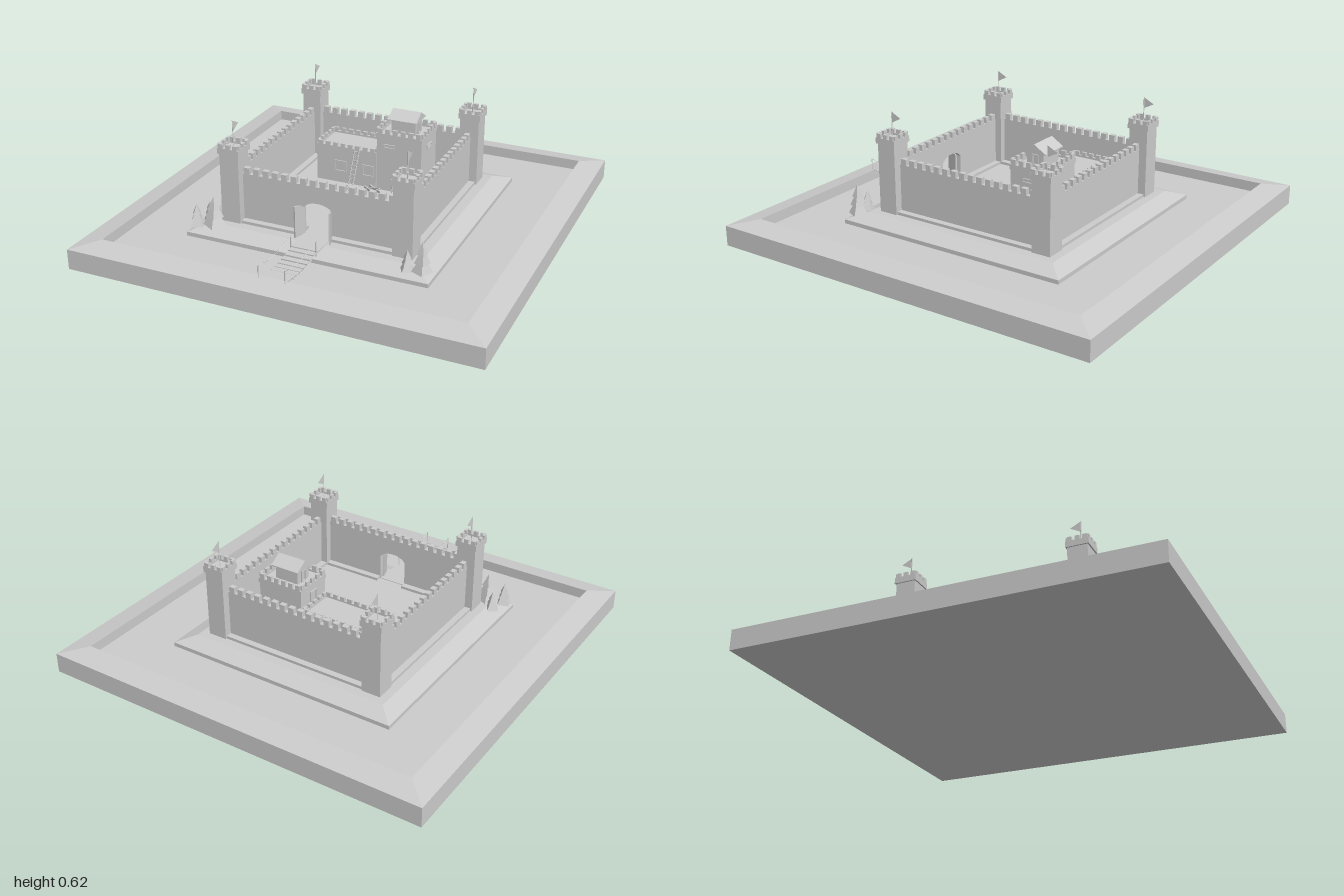
import * as THREE from 'three';

const stone = new THREE.MeshStandardMaterial({ color: 0xcccccc, flatShading: true });
stone.name = 'pale grey stone';
const cloth = stone.clone();
cloth.side = THREE.DoubleSide;
cloth.name = 'pale grey cloth';

const GROUND = 0.12;

function add(parent, name, geo, x = 0, y = 0, z = 0, ry = 0, mat = stone) {
  const m = new THREE.Mesh(geo, mat);
  m.name = name;
  m.position.set(x, y, z);
  m.rotation.y = ry;
  parent.add(m);
  return m;
}
// Box standing on y
const box = (p, name, w, h, d, x, y, z, ry = 0) =>
  add(p, name, new THREE.BoxGeometry(w, h, d), x, y + h / 2, z, ry);

function group(parent, name, x = 0, y = 0, z = 0, ry = 0) {
  const g = new THREE.Group();
  g.name = name;
  g.position.set(x, y, z);
  g.rotation.y = ry;
  parent.add(g);
  return g;
}

// Straight rod between two points
function rod(parent, name, a, b, r) {
  const p = new THREE.Vector3(...a), q = new THREE.Vector3(...b);
  const m = add(parent, name, new THREE.CylinderGeometry(r, r, p.distanceTo(q), 4));
  m.position.copy(p).lerp(q, 0.5);
  m.quaternion.setFromUnitVectors(new THREE.Vector3(0, 1, 0), q.sub(p).normalize());
  return m;
}

// Upright wall with merlons on top and an optional arched gateway, centred on its thickness
function crenelWall(len, h, notch, count, thick, gateW = 0, gateH = 0) {
  const s = new THREE.Shape(), L = len / 2, pitch = len / count;
  s.moveTo(-L, 0);
  if (gateW) {
    s.lineTo(-gateW, 0);
    s.lineTo(-gateW, gateH - 0.03);
    s.quadraticCurveTo(-gateW * 0.7, gateH, 0, gateH);
    s.quadraticCurveTo(gateW * 0.7, gateH, gateW, gateH - 0.03);
    s.lineTo(gateW, 0);
  }
  s.lineTo(L, 0);
  for (let i = 0; i < count; i++) {
    const a = L - i * pitch - pitch * 0.2, b = L - (i + 1) * pitch + pitch * 0.2;
    s.lineTo(i ? a : L, h - notch);
    s.lineTo(a, h - notch);
    s.lineTo(a, h);
    s.lineTo(b, h);
    s.lineTo(b, h - notch);
  }
  s.lineTo(-L, h - notch);
  s.closePath();
  const g = new THREE.ExtrudeGeometry(s, { depth: thick, bevelEnabled: false, curveSegments: 6 });
  return g.translate(0, 0, -thick / 2);
}

// Four crenellated sides round a rectangle
function parapet(parent, w, d, y, h, notch, nw, nd, t) {
  for (const s of [1, -1]) {
    add(parent, 'parapet', crenelWall(w, h, notch, nw, t), 0, y, s * (d - t) / 2);
    add(parent, 'parapet', crenelWall(d, h, notch, nd, t), s * (w - t) / 2, y, 0, Math.PI / 2);
  }
}

// Raised rectangular frame, facing +z
function frame(parent, name, w, h, x, y, z, ry = 0) {
  const s = new THREE.Shape(), t = 0.006;
  const rect = (p, a, b) => p.moveTo(-a, -b).lineTo(a, -b).lineTo(a, b).lineTo(-a, b).closePath();
  rect(s, w / 2, h / 2);
  const hole = rect(new THREE.Path(), w / 2 - t, h / 2 - t);
  s.holes.push(hole);
  add(parent, name, new THREE.ExtrudeGeometry(s, { depth: 0.006, bevelEnabled: false }), x, y, z, ry);
}

function buildTower(parent, x, z) {
  const t = group(parent, 'tower', x, 0, z);
  box(t, 'towerBody', 0.098, 0.375, 0.098, 0, 0.095, 0);
  box(t, 'towerCap', 0.112, 0.02, 0.112, 0, 0.465, 0);
  parapet(t, 0.112, 0.112, 0.482, 0.033, 0.02, 3, 3, 0.014);
  rod(t, 'flagPole', [0, 0.48, 0], [0, 0.617, 0], 0.0025);
  const s = new THREE.Shape([[0, 0.617], [0.053, 0.59], [0, 0.562]].map(p => new THREE.Vector2(...p)));
  add(t, 'flag', new THREE.ShapeGeometry(s), 0, 0, 0, Math.PI / 2, cloth);
}

function buildTree(parent, x, z, r, top) {
  const t = group(parent, 'tree', x, 0.1, z, x * 9);
  const h = top - 0.1;
  box(t, 'treeTrunk', r * 0.4, h * 0.2, r * 0.4, 0, 0, 0);
  for (let i = 0; i < 3; i++) {
    const y0 = h * (0.1 + 0.26 * i), y1 = h * [0.62, 0.84, 1][i];
    add(t, 'treeTier', new THREE.ConeGeometry(r * (1.15 - 0.27 * i), y1 - y0, 4), 0, (y0 + y1) / 2, 0, i * 0.12);
  }
}

function buildKeep(parent) {
  // Lower hall
  const hall = group(parent, 'hall', -0.122, 0, -0.235);
  box(hall, 'hallBody', 0.324, 0.185, 0.2, 0, GROUND, 0);
  parapet(hall, 0.324, 0.2, 0.3, 0.032, 0.018, 8, 5, 0.012);
  for (const x of [-0.03, 0.12]) frame(hall, 'hallWindow', 0.065, 0.06, x, 0.21, 0.1);
  // Taller block
  const block = group(parent, 'keepBlock', 0.162, 0, -0.235);
  box(block, 'keepBody', 0.236, 0.295, 0.2, 0, GROUND, 0);
  parapet(block, 0.244, 0.208, 0.4, 0.05, 0.025, 6, 5, 0.012);
  frame(block, 'slitWindow', 0.06, 0.022, -0.05, 0.36, 0.1);
  frame(block, 'slitWindow', 0.06, 0.022, 0.118, 0.36, 0, Math.PI / 2);
  frame(block, 'roofDoor', 0.05, 0.075, -0.118, 0.345, 0, -Math.PI / 2);
  // Gabled house on the block
  box(block, 'houseBody', 0.125, 0.085, 0.09, 0, 0.405, 0);
  const gable = new THREE.Shape([[-0.062, 0.483], [0.062, 0.483], [0.062, 0.488], [0, 0.526], [-0.062, 0.488]]
    .map(p => new THREE.Vector2(...p)));
  const roof = new THREE.ExtrudeGeometry(gable, { depth: 0.15, bevelEnabled: false }).translate(0, 0, -0.075);
  add(block, 'houseRoof', roof, 0, 0, 0, Math.PI / 2);
  for (const s of [1, -1]) frame(block, 'houseDoor', 0.035, 0.06, s * 0.0625, 0.445, 0, s * Math.PI / 2);
}

function buildYard(parent) {
  // Ladder leaning on the hall
  for (const x of [-0.075, -0.05]) rod(parent, 'ladderRail', [x, GROUND, -0.04], [x, 0.325, -0.14], 0.0025);
  for (let i = 1; i < 10; i++) {
    const y = GROUND + 0.0205 * i, z = -0.04 - 0.01 * i;
    rod(parent, 'ladderRung', [-0.075, y, z], [-0.05, y, z], 0.002);
  }
  // Crates
  for (const [x, z, r] of [[-0.235, 0.065, 0.1], [-0.24, 0.1, 0], [-0.07, 0.11, 0.1], [-0.05, 0.14, 0.4], [-0.085, 0.14, 0.9]])
    box(parent, 'crate', 0.025, 0.025, 0.025, x, GROUND, z, r);
  // Trestle with a raised arm
  const e = group(parent, 'engine', 0.055, GROUND, -0.075, -0.6);
  for (const z of [-0.015, 0.015]) box(e, 'engineBeam', 0.12, 0.012, 0.008, 0, 0.012, z);
  for (const x of [-0.045, 0, 0.045]) box(e, 'engineCross', 0.01, 0.012, 0.045, x, 0, 0);
  rod(e, 'engineArm', [-0.05, 0.015, 0], [0.055, 0.05, 0], 0.004);
  // Hand cart
  const c = group(parent, 'cart', 0.195, GROUND, -0.003);
  box(c, 'cartBed', 0.06, 0.02, 0.045, 0, 0.015, 0);
  for (const s of [1, -1]) {
    add(c, 'cartWheel', new THREE.CylinderGeometry(0.014, 0.014, 0.005, 8).rotateX(Math.PI / 2), 0, 0.014, s * 0.026);
    rod(c, 'cartHandle', [0.03, 0.025, s * 0.012], [0.068, 0.025, s * 0.012], 0.003);
  }
  // Spear rack
  box(parent, 'rackRail', 0.11, 0.006, 0.008, 0.185, 0.165, -0.124);
  for (let i = 0; i < 7; i++) {
    const x = 0.135 + i * 0.0165;
    rod(parent, 'spear', [x, GROUND, -0.112], [x, 0.19, -0.13], 0.0025);
  }
}

function buildBridge(parent) {
  box(parent, 'gatePath', 0.14, 0.005, 0.17, 0, GROUND - 0.002, 0.505);
  const sag = t => 4 * t * (1 - t);
  for (let i = 0; i < 9; i++) {
    const t = (i + 0.5) / 9;
    box(parent, 'bridgePlank', 0.128, 0.006, 0.029, 0, 0.117 - 0.018 * sag(t), 0.59 + 0.31 * t);
  }
  for (const x of [-0.064, 0.064]) {
    for (const z of [0.595, 0.9]) rod(parent, 'bridgePost', [x, 0.1, z], [x, 0.182, z], 0.003);
    const rope = y => new THREE.TubeGeometry(new THREE.QuadraticBezierCurve3(
      new THREE.Vector3(x, y, 0.9), new THREE.Vector3(x, y - 0.042, 0.75), new THREE.Vector3(x, y, 0.595)), 10, 0.002, 4);
    add(parent, 'handRope', rope(0.18));
    add(parent, 'deckRope', rope(0.117));
  }
}

export function createModel() {
  const model = new THREE.Group();
  model.name = 'castle';

  // Square ground block with sloped rim, moat and raised island
  const profile = [[0, 0], [1, 0], [1, 0.1], [0.885, 0.122], [0.885, 0.07], [0.607, 0.07], [0.607, 0.09], [0.525, GROUND], [0, GROUND]];
  add(model, 'ground', new THREE.LatheGeometry(
    profile.map(([r, y]) => new THREE.Vector2(r * Math.SQRT2, y)), 4, Math.PI / 4));

  // Curtain walls on low plinths, the front one with a gateway
  const H = 0.395 - GROUND;
  for (let i = 0; i < 4; i++) {
    const side = group(model, 'wallSide', 0, 0, 0, i * Math.PI / 2);
    const gate = i === 0;
    add(side, 'curtainWall', crenelWall(0.78, H, 0.03, 16, 0.024, gate ? 0.072 : 0, gate ? 0.162 : 0), 0, GROUND, 0.432);
    if (gate) {
      for (const s of [1, -1]) box(side, 'plinth', 0.31, 0.014, 0.088, s * 0.229, GROUND, 0.432);
    } else box(side, 'plinth', 0.78, 0.014, 0.088, 0, GROUND, 0.432);
  }
  for (const x of [-0.435, 0.435]) for (const z of [-0.435, 0.435]) buildTower(model, x, z);

  // Open gate leaves
  for (const s of [1, -1]) {
    const leaf = new THREE.Shape();
    leaf.moveTo(0, 0).lineTo(0.066, 0).lineTo(0.066, 0.158);
    leaf.quadraticCurveTo(0.02, 0.156, 0, 0.13);
    leaf.closePath();
    const g = new THREE.ExtrudeGeometry(leaf, { depth: 0.008, bevelEnabled: false }).translate(0, 0, -0.004);
    add(model, 'gateLeaf', g, s * 0.068, GROUND, 0.444, s > 0 ? -1.25 : -Math.PI + 1.25);
  }

  buildKeep(model);
  buildYard(model);
  buildBridge(model);

  for (const [x, z, r, top] of [[-0.55, 0.48, 0.034, 0.205], [-0.495, 0.535, 0.05, 0.265], [-0.575, 0.56, 0.037, 0.22],
    [0.49, 0.56, 0.034, 0.21], [0.56, 0.56, 0.042, 0.265]]) buildTree(model, x, z, r, top);
  return model;
}
